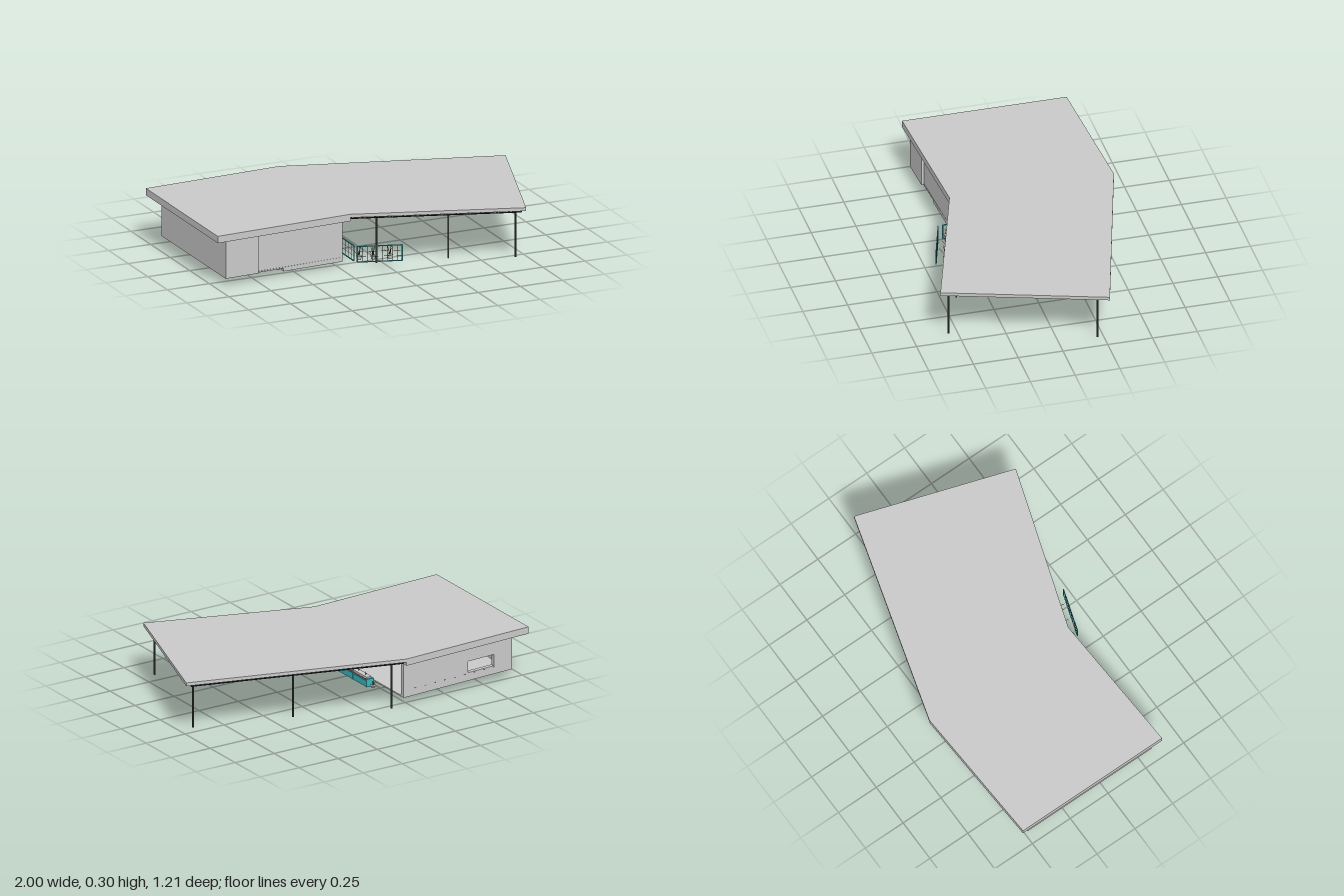
import * as THREE from 'three';

const mat = (name, color, side = THREE.FrontSide) => {
  const m = new THREE.MeshStandardMaterial({ color, side });
  m.name = name;
  return m;
};

export function createModel() {
  const root = new THREE.Group();
  root.name = 'pavilion';
  const grey = mat('concrete grey', 0xc9c9c9);
  const dark = mat('dark metal', 0x424745);
  const black = mat('black beam', 0x202121);
  const teal = mat('teal paint', 0x36b4ba);
  const green = mat('leaf green', 0x4c6a3c, THREE.DoubleSide);
  const soil = mat('terracotta', 0xa06c62);

  const group = (name, parent = root) => {
    const g = new THREE.Group();
    g.name = name;
    parent.add(g);
    return g;
  };
  const add = (name, geo, m, parent = root) => {
    const mesh = new THREE.Mesh(geo, m);
    mesh.name = name;
    parent.add(mesh);
    return mesh;
  };
  const box = (name, x0, x1, y0, y1, z0, z1, m, parent) => {
    const b = add(name, new THREE.BoxGeometry(x1 - x0, y1 - y0, z1 - z0), m, parent);
    b.position.set((x0 + x1) / 2, (y0 + y1) / 2, (z0 + z1) / 2);
    return b;
  };
  // Plan outline of [x, z] points raised from y0 to y1
  const prism = (name, pts, y0, y1, m, parent) => {
    const shape = new THREE.Shape(pts.map(([x, z]) => new THREE.Vector2(x, -z)));
    const geo = new THREE.ExtrudeGeometry(shape, { depth: y1 - y0, bevelEnabled: false });
    geo.rotateX(-Math.PI / 2).translate(0, y0, 0);
    return add(name, geo, m, parent);
  };
  // Rectangular bar between two points
  const bar = (name, a, b, t, m, parent, h = t) => {
    const p = new THREE.Vector3(...a), q = new THREE.Vector3(...b);
    const mesh = add(name, new THREE.BoxGeometry(t, h, p.distanceTo(q)), m, parent);
    mesh.position.copy(p).lerp(q, 0.5);
    mesh.lookAt(q);
    return mesh;
  };
  const lerp = THREE.MathUtils.lerp;

  // Bent roof: thick wing over the house, thin wing over the terrace
  const A = [-0.19, -0.607], B = [1, -0.262], C = [0.717, 0.608], D = [-0.19, 0.312];
  prism('houseRoof', [[-1, -0.562], [-1, 0.357], D, A], 0.261, 0.3, grey);
  prism('terraceRoof', [A, D, C, B], 0.281, 0.3, grey);

  // Crossing beams and finer battens hung under the terrace roof
  const beams = group('ceilingBeams');
  const at = (u, v, y) => {
    const n = [lerp(A[0], B[0], u), lerp(A[1], B[1], u)];
    const f = [lerp(D[0], C[0], u), lerp(D[1], C[1], u)];
    return [lerp(n[0], f[0], v), y, lerp(n[1], f[1], v)];
  };
  for (let i = 0; i <= 42; i++) {
    const u = lerp(0.01, 0.975, i / 42), main = i % 3 === 0;
    bar(main ? 'crossBeam' : 'crossBatten', at(u, 0.015, 0.274), at(u, 0.985, 0.274), main ? 0.008 : 0.004, black, beams, 0.004);
  }
  for (let i = 0; i <= 30; i++) {
    const v = lerp(0.015, 0.985, i / 30), main = i % 3 === 0;
    bar(main ? 'longBeam' : 'longBatten', at(0.01, v, 0.272), at(0.975, v, 0.272), main ? 0.008 : 0.004, black, beams, 0.004);
  }

  // Slim terrace posts
  const posts = group('posts');
  [[-0.03, 0.3, 0], [0.342, 0.418, 0.01], [0.68, 0.553, 0.01],
    [-0.14, -0.533, 0], [0.387, -0.373, 0.01], [0.925, -0.213, 0.01]].forEach(([x, z, y]) => {
    const p = add('post', new THREE.CylinderGeometry(0.005, 0.005, 0.281 - y, 12), dark, posts);
    p.position.set(x, (0.281 + y) / 2, z);
  });

  // House shell, open on the terrace end
  const house = group('house');
  const frontZ = x => lerp(0.33, 0.29, (x + 0.94) / 0.72);
  const backZ = x => lerp(-0.488, -0.53, (x + 0.94) / 0.72);
  const wall = (name, x0, x1, y0, y1, line, t) =>
    prism(name, [[x0, line(x0)], [x1, line(x1)], [x1, line(x1) + t], [x0, line(x0) + t]], y0, y1, grey, house);
  prism('floor', [[-0.94, -0.487], [-0.94, 0.32], [-0.22, 0.276], [-0.22, -0.529]], 0.043, 0.05, grey, house);
  box('leftWall', -0.94, -0.92, 0.045, 0.262, -0.485, 0.315, grey, house);
  wall('frontWallLeft', -0.94, -0.74, 0.043, 0.262, frontZ, -0.03);
  wall('frontWallRight', -0.74, -0.22, 0.043, 0.262, x => frontZ(x) - 0.014, -0.02);
  prism('lowerSlab', [[-0.58, 0.19], [-0.58, 0.296], [-0.22, 0.276], [-0.22, 0.19]], 0.025, 0.044, grey, house);
  box('slabFoot', -0.585, -0.575, 0.015, 0.044, 0.22, 0.235, grey, house);

  // Back wall around its window opening
  wall('backWallLower', -0.94, -0.22, 0.043, 0.09, backZ, 0.025);
  wall('backWallUpper', -0.94, -0.22, 0.155, 0.262, backZ, 0.025);
  wall('backWallLeft', -0.94, -0.82, 0.09, 0.155, backZ, 0.025);
  wall('backWallRight', -0.65, -0.22, 0.09, 0.155, backZ, 0.025);
  box('wallBoard', -0.92, -0.915, 0.1, 0.175, -0.43, -0.345, grey, house);
  for (let i = 0; i < 9; i++) {
    const x = -0.3 - i * 0.065;
    box('wallVent', x - 0.006, x + 0.006, 0.082, 0.085, backZ(x) - 0.001, backZ(x) + 0.004, dark, house);
  }

  // Planter counter at the open end
  const counter = group('counter');
  box('counterBody', -0.178, -0.135, 0.045, 0.08, -0.295, -0.005, teal, counter);
  box('counterSoil', -0.174, -0.139, 0.08, 0.087, -0.285, -0.015, soil, counter);
  box('counterTop', -0.172, -0.141, 0.087, 0.098, -0.285, -0.015, grey, counter);
  [-0.29, -0.15, -0.01].forEach(z => box('counterPier', -0.18, -0.133, 0.045, 0.09, z - 0.006, z + 0.006, teal, counter));

  // Railings with slender uprights
  const railing = (name, a, b, count, y0, y1, fill) => {
    const g = group(name);
    [y0, y1].forEach(y => bar('rail', [a[0], y, a[1]], [b[0], y, b[1]], 0.005, teal, g));
    for (let i = 0; i <= count; i++) {
      const x = lerp(a[0], b[0], i / count), z = lerp(a[1], b[1], i / count);
      const end = i === 0 || i === count, t = end ? 0.005 : 0.0018;
      box('upright', x - t / 2, x + t / 2, y0, y1, z - t / 2, z + t / 2, end ? teal : fill, g);
    }
    [0.33, 0.66].forEach(f => {
      const y = lerp(y0, y1, f);
      bar('wire', [a[0], y, a[1]], [b[0], y, b[1]], 0.0012, fill, g);
    });
  };
  railing('frontRailing', [-0.18, 0.378], [0.053, 0.452], 9, 0.047, 0.135, dark);
  railing('sideRailing', [-0.187, 0.35], [-0.187, 0.058], 8, 0.047, 0.133, grey);

  // Sloping handrail inside the house
  const hand = group('handrail');
  [0, -0.022].forEach(d => {
    bar('levelRail', [-0.6, 0.132 + d, 0.27], [-0.6, 0.13 + d, -0.02], 0.005, dark, hand);
    bar('slopeRail', [-0.6, 0.13 + d, -0.02], [-0.6, 0.1 + d, -0.17], 0.005, dark, hand);
  });
  [[0.22, 0.132], [0.16, 0.132], [-0.02, 0.13], [-0.165, 0.1]].forEach(([z, y]) =>
    box('handrailPost', -0.6025, -0.5975, 0.05, y, z - 0.0025, z + 0.0025, dark, hand));

  // Potted plants with fanned leaves
  const plant = (x, y, z, h, potH, leaves = 6) => {
    const g = group('plant');
    g.position.set(x, y, z);
    if (potH) {
      add('pot', new THREE.CylinderGeometry(0.016, 0.011, potH, 12), grey, g).position.y = potH / 2;
    }
    for (let i = 0; i < leaves; i++) {
      const leaf = new THREE.ConeGeometry(h * 0.055, h, 4);
      leaf.scale(1, 1, 0.3).translate(0, h / 2, 0);
      const l = add('leaf', leaf, green, g);
      l.position.y = potH;
      l.rotation.set(0.2 + (i % 3) * 0.3, i * 2.4, 0, 'YXZ');
    }
  };
  [[-0.15, 0.335], [-0.075, 0.355], [0.01, 0.387]].forEach(([x, z]) => plant(x, 0.045, z, 0.06, 0.022));
  [0.015, -0.31].forEach(z => plant(-0.165, 0.045, z, 0.04, 0.01));
  [-0.04, -0.11, -0.18, -0.25].forEach(z => plant(-0.157, 0.098, z, 0.02, 0));

  // Low benches inside
  [[-0.4, 0.04], [-0.4, -0.39]].forEach(([x, z]) => {
    const g = group('bench');
    box('benchSeat', x - 0.05, x + 0.05, 0.068, 0.074, z - 0.065, z + 0.065, dark, g);
    for (const sx of [-0.042, 0.042]) for (const sz of [-0.055, -0.02, 0.02, 0.055]) {
      box('benchLeg', x + sx - 0.003, x + sx + 0.003, 0.0425, 0.068, z + sz - 0.003, z + sz + 0.003, dark, g);
    }
  });

  return root;
}
